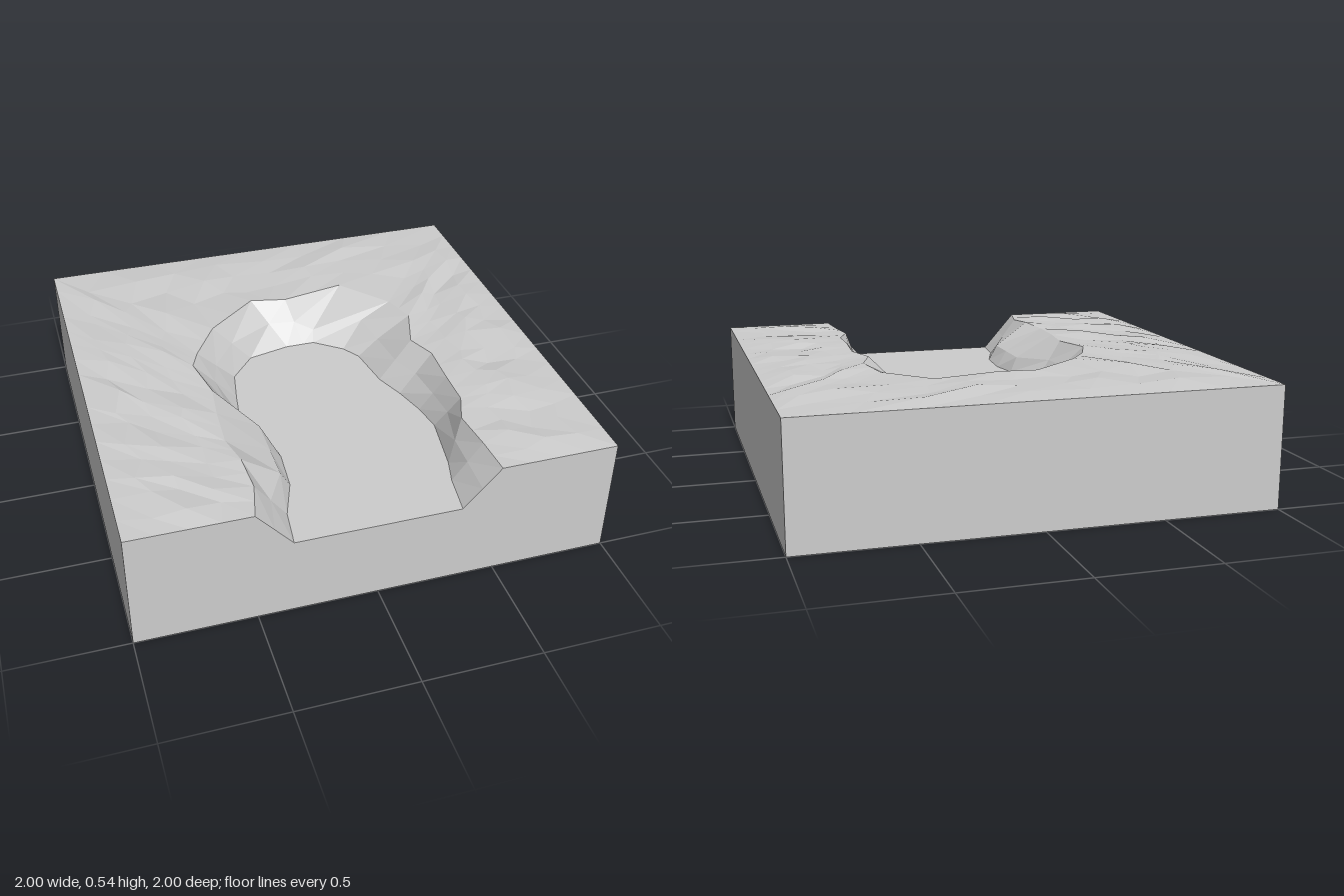
import * as THREE from 'three';

const TOP = 0.52, FLOOR = 0.35, CORNERS = [8, 12, 20];

// Bank stations from front left, around the back, to front right: rim x, z and floor x, z
const BANK = [
  [-0.5, 1, -0.35, 1], [-0.46, 0.83, -0.33, 0.83], [-0.47, 0.67, -0.27, 0.66],
  [-0.5, 0.52, -0.255, 0.47], [-0.49, 0.33, -0.28, 0.33], [-0.47, 0.16, -0.35, 0.13],
  [-0.51, -0.04, -0.33, 0], [-0.47, -0.14, -0.3, -0.16], [-0.36, -0.31, -0.19, -0.29],
  [-0.13, -0.5, 0, -0.335], [0.03, -0.47, 0.08, -0.335], [0.32, -0.53, 0.13, -0.335],
  [0.5, -0.32, 0.25, -0.24], [0.54, -0.16, 0.3, -0.16], [0.48, 0.03, 0.33, 0.05],
  [0.53, 0.16, 0.38, 0.18], [0.52, 0.36, 0.42, 0.32], [0.52, 0.52, 0.44, 0.45],
  [0.47, 0.65, 0.4, 0.71], [0.49, 0.83, 0.37, 0.82], [0.5, 1, 0.345, 1],
];
// Ledges part way down the bank, by station
const LEDGES = {
  2: [-0.31, 0.42, 0.66], 3: [-0.31, 0.42, 0.5], 4: [-0.31, 0.42, 0.33],
  11: [0.14, 0.4, -0.37], 12: [0.36, 0.45, -0.31], 13: [0.39, 0.43, -0.16],
};

function seeded(seed) {
  return () => {
    seed = (seed * 16807) % 2147483647;
    return seed / 2147483647;
  };
}

const vec = (x, y, z) => new THREE.Vector3(x, y, z);

// Point on the square border that belongs to a bank station
function borderPoint(i) {
  if (i <= CORNERS[0]) return vec(-1, TOP, 1 - 2 * i / CORNERS[0]);
  if (i <= CORNERS[1]) return vec(-1 + 2 * (i - CORNERS[0]) / (CORNERS[1] - CORNERS[0]), TOP, -1);
  return vec(1, TOP, -1 + 2 * (i - CORNERS[1]) / (CORNERS[2] - CORNERS[1]));
}

// Faceted surface through a list of cross-sections
function loft(sections) {
  const pos = [];
  const tri = (...pts) => pts.forEach((p) => pos.push(p.x, p.y, p.z));
  for (let u = 0; u < sections.length - 1; u++) {
    const a = sections[u], b = sections[u + 1];
    for (let v = 0; v < a.length - 1; v++) {
      tri(a[v], a[v + 1], b[v]);
      tri(a[v + 1], b[v + 1], b[v]);
    }
  }
  const g = new THREE.BufferGeometry();
  g.setAttribute('position', new THREE.Float32BufferAttribute(pos, 3));
  g.computeVertexNormals();
  return g;
}

export function createModel() {
  const group = new THREE.Group();
  const stone = new THREE.MeshStandardMaterial({ color: 0xcccccc, flatShading: true });
  stone.name = 'light grey stone';
  const add = (name, geometry) => {
    const mesh = new THREE.Mesh(geometry, stone);
    mesh.name = name;
    group.add(mesh);
    return mesh;
  };
  const rand = seeded(4721);

  // Bank sections: rim, ledge, floor
  const last = BANK.length - 1;
  const bank = BANK.map(([rx, rz, fx, fz], i) => {
    const rim = vec(rx, i === 0 || i === last ? TOP : TOP + 0.012 * rand(), rz);
    const floor = vec(fx, FLOOR, fz);
    const mid = LEDGES[i] ? vec(...LEDGES[i]) : rim.clone().lerp(floor, 0.5);
    return [rim, mid, floor];
  });
  add('riverBank', loft(bank));

  // Uneven ground between the square border and the rim
  const STEPS = 4, ground = [];
  for (let j = 0; j <= last * 2; j++) {
    const i = Math.floor(j / 2), end = j === 0 || j === last * 2;
    const rim = bank[i][0].clone();
    if (j % 2) rim.lerp(bank[i + 1][0], 0.5);
    const border = borderPoint(j / 2), row = [];
    for (let s = 0; s <= STEPS; s++) {
      const p = border.clone().lerp(rim, s / STEPS);
      if (!end && s > 0 && s < STEPS) {
        p.x += (rand() - 0.5) * 0.05;
        p.z += (rand() - 0.5) * 0.05;
        p.y = TOP + 0.02 * rand();
      }
      row.push(p);
    }
    ground.push(row);
  }
  add('ground', loft(ground));

  // Flat river bed
  const bed = new THREE.Shape(BANK.map(([, , x, z]) => new THREE.Vector2(x, -z)));
  const bedMesh = add('riverBed', new THREE.ShapeGeometry(bed));
  bedMesh.rotation.x = -Math.PI / 2;
  bedMesh.position.y = FLOOR;

  // Front face with the channel notch
  const front = new THREE.Shape([
    [-1, 0], [1, 0], [1, TOP], [0.5, TOP], [0.345, FLOOR], [-0.35, FLOOR], [-0.5, TOP], [-1, TOP],
  ].map(([x, y]) => new THREE.Vector2(x, y)));
  add('frontFace', new THREE.ShapeGeometry(front)).position.z = 1;

  // Plain side faces
  [['leftFace', 1], ['backFace', 2], ['rightFace', 3]].forEach(([name, turn]) => {
    const g = new THREE.PlaneGeometry(2, TOP).translate(0, TOP / 2, 1);
    add(name, g.rotateY(turn * Math.PI / 2));
  });
  add('underside', new THREE.PlaneGeometry(2, 2).rotateX(Math.PI / 2));

  return group;
}
